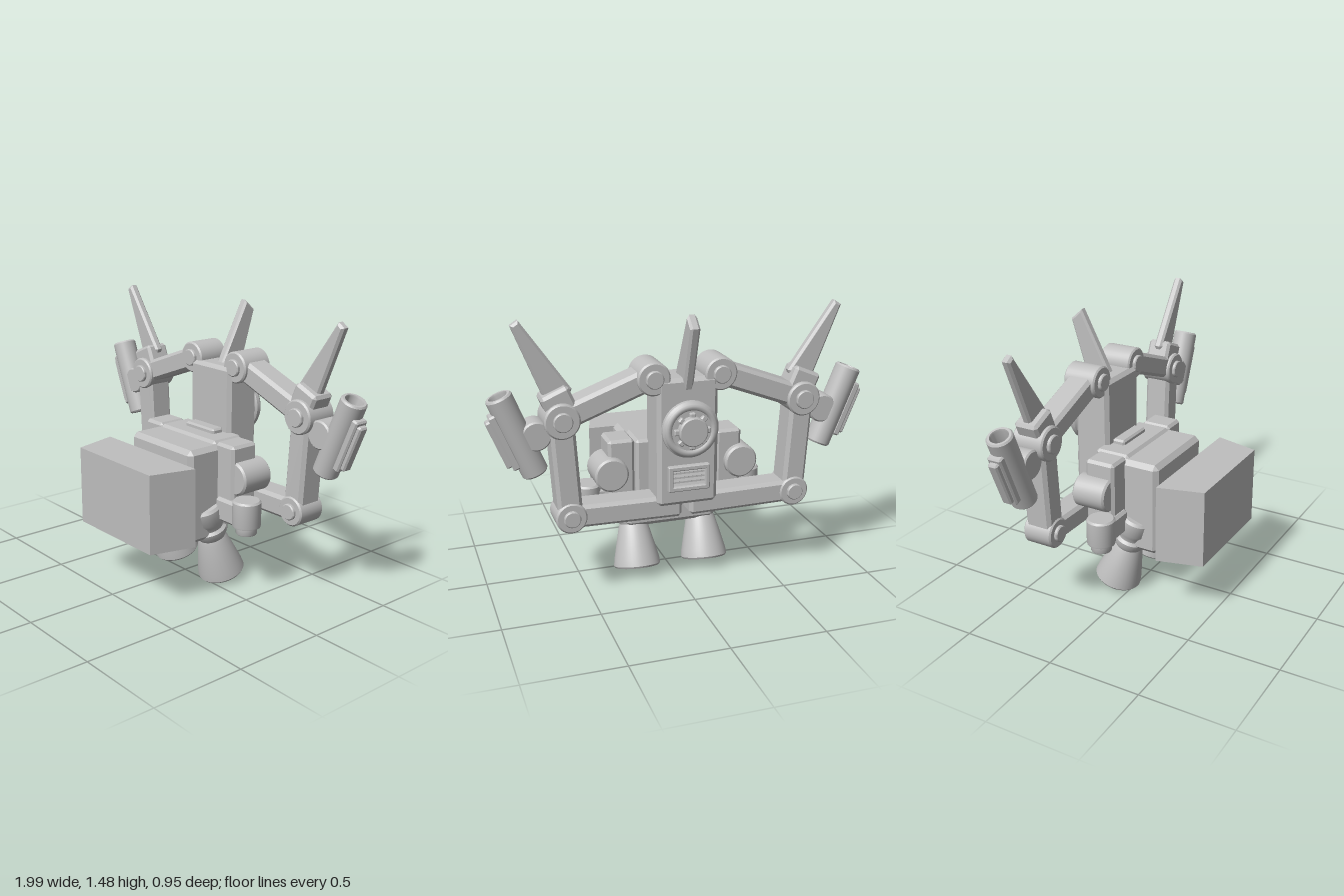
import * as THREE from 'three';
import { ConvexGeometry } from 'three/addons/geometries/ConvexGeometry.js';
import { toCreasedNormals } from 'three/addons/utils/BufferGeometryUtils.js';

const grey = new THREE.MeshStandardMaterial({ name: 'light grey', color: 0xbfbfbf });
const BACK = -0.28; // depth of the arm frame

function add(parent, name, geometry, x = 0, y = 0, z = 0) {
  const mesh = new THREE.Mesh(geometry, grey);
  mesh.name = name;
  mesh.position.set(x, y, z);
  parent.add(mesh);
  return mesh;
}

// Box with chamfered edges
function chamferBox(w, h, d, c = 0.015) {
  const points = [];
  for (const i of [-1, 1]) for (const j of [-1, 1]) for (const k of [-1, 1]) {
    const x = i * w / 2, y = j * h / 2, z = k * d / 2;
    points.push(
      new THREE.Vector3(x, y - j * c, z - k * c),
      new THREE.Vector3(x - i * c, y, z - k * c),
      new THREE.Vector3(x - i * c, y - j * c, z));
  }
  return new ConvexGeometry(points);
}

// Turned part along y, with sharp rims
function turned(profile, segments = 32) {
  const points = profile.map(([r, y]) => new THREE.Vector2(r, y));
  return toCreasedNormals(new THREE.LatheGeometry(points, segments), 0.6);
}

// Cylinder along z with slightly softened rims
function drum(r, depth, bevel = 0.008, segments = 32) {
  const h = depth / 2;
  return turned([[0, -h], [r - bevel, -h], [r, -h + bevel], [r, h - bevel], [r - bevel, h], [0, h]], segments)
    .rotateX(Math.PI / 2);
}

// Bevelled flat blade, centred on z
function blade(points, thickness, bevel = 0.012) {
  const shape = new THREE.Shape(points.map(([x, y]) => new THREE.Vector2(x, y)));
  return new THREE.ExtrudeGeometry(shape, {
    depth: thickness - 2 * bevel, bevelEnabled: true, bevelSize: bevel,
    bevelThickness: bevel, bevelOffset: -bevel, bevelSegments: 1,
  }).translate(0, 0, -thickness / 2 + bevel);
}

// Beam between two points in the arm plane
function beam(parent, name, [x1, y1], [x2, y2], width, depth) {
  const mesh = add(parent, name, chamferBox(Math.hypot(x2 - x1, y2 - y1), width, depth, 0.018),
    (x1 + x2) / 2, (y1 + y2) / 2, BACK);
  mesh.rotation.z = Math.atan2(y2 - y1, x2 - x1);
}

function joint(parent, name, [x, y], r, depth) {
  add(parent, name, drum(r, depth), x, y, BACK);
  add(parent, name + 'Pin', drum(r * 0.54, depth + 0.035, 0.005), x, y, BACK);
}

function buildTorso(parent) {
  // Trapezoid block floating in front
  const panel = new THREE.Shape([[-0.365, -0.235], [0.365, -0.235], [0.3, -0.475], [-0.3, -0.475]]
    .map(([x, y]) => new THREE.Vector2(x, y)));
  add(parent, 'frontBlock', new THREE.ExtrudeGeometry(panel, { depth: 0.42, bevelEnabled: false })
    .rotateX(-Math.PI / 2), 0, 0.32, 0);

  // Main body and its rear link
  add(parent, 'body', chamferBox(0.5, 0.515, 0.285, 0.025), 0, 0.5275, 0.0325);
  add(parent, 'bodyLink', chamferBox(0.45, 0.33, 0.2), 0, 0.635, -0.11);
  add(parent, 'topPlate', chamferBox(0.23, 0.05, 0.075, 0.01), 0, 0.8, -0.135);

  // Back column
  add(parent, 'column', chamferBox(0.32, 0.67, 0.205, 0.02), 0, 0.82, -0.2725);
  const fin = blade([[0.41, 1.478], [0.475, 1.42], [0.37, 1.08], [0.205, 1.08]], 0.052);
  add(parent, 'centreFin', fin.rotateY(Math.PI / 2));

  // Round hatch on the back
  add(parent, 'hatch', drum(0.147, 0.05, 0.015, 40), 0, 0.9, -0.402);
  add(parent, 'hatchRing', new THREE.TorusGeometry(0.12, 0.02, 10, 40), 0, 0.9, -0.415);
  add(parent, 'hatchHub', drum(0.075, 0.085, 0.006), 0, 0.9, -0.423);
  for (let i = 0; i < 8; i++) {
    const a = i * Math.PI / 4;
    const bolt = add(parent, 'hatchBolt', chamferBox(0.03, 0.03, 0.035, 0.005),
      0.08 * Math.cos(a), 0.9 + 0.08 * Math.sin(a), -0.43);
    bolt.rotation.z = a;
  }

  // Vent frame with slats
  for (const s of [-1, 1]) {
    add(parent, 'ventRail', chamferBox(0.22, 0.025, 0.04, 0.005), 0, 0.6375 + s * 0.055, -0.382);
    add(parent, 'ventPost', chamferBox(0.025, 0.135, 0.04, 0.005), s * 0.0975, 0.6375, -0.382);
  }
  for (let i = -1.5; i < 2; i++) {
    const slat = add(parent, 'ventSlat', new THREE.BoxGeometry(0.175, 0.014, 0.02), 0, 0.6375 + i * 0.024, -0.382);
    slat.rotation.x = 0.4;
  }
}

function buildSide(parent, s) {
  // Side box, tank and small vertical thruster
  add(parent, 'sideBox', chamferBox(0.14, 0.4, 0.17), s * 0.295, 0.6, -0.1);
  add(parent, 'tank', drum(0.09, 0.19, 0.01), s * 0.355, 0.625, -0.125);
  add(parent, 'thrusterArm', chamferBox(0.2, 0.13, 0.1), s * 0.35, 0.445, -0.045);
  add(parent, 'smallThruster', turned([[0, 0.35], [0.052, 0.35], [0.055, 0.355], [0.055, 0.39],
    [0.073, 0.392], [0.075, 0.4], [0.075, 0.525], [0.066, 0.535], [0, 0.535]]), s * 0.447, 0, -0.042);

  // Tilted main nozzle, hollow bell
  const nozzle = add(parent, 'nozzle', turned([[0, 0.2], [0.06, 0.2], [0.095, 0.07], [0.112, 0.005],
    [0.12, 0], [0.127, 0.01], [0.122, 0.045], [0.105, 0.12], [0.082, 0.215], [0.074, 0.235],
    [0.086, 0.255], [0.09, 0.285], [0.076, 0.3], [0.082, 0.325], [0.096, 0.35],
    [0.096, 0.42], [0.085, 0.435], [0, 0.435]], 40), s * 0.193, 0.04, -0.1);
  nozzle.rotation.x = 0.316;

  // Arm frame
  const shoulder = [s * 0.175, 1.16], elbow = [s * 0.634, 0.987], lower = [s * 0.602, 0.478];
  joint(parent, 'shoulder', shoulder, 0.085, 0.185);
  joint(parent, 'elbow', elbow, 0.09, 0.18);
  joint(parent, 'lowerJoint', lower, 0.08, 0.165);
  beam(parent, 'upperArm', shoulder, elbow, 0.12, 0.145);
  beam(parent, 'outerArm', elbow, lower, 0.125, 0.15);
  beam(parent, 'lowerArm', [s * 0.02, 0.47], lower, 0.12, 0.15);

  // Swept fin on its mount
  const mount = add(parent, 'finMount', chamferBox(0.15, 0.12, 0.135), s * 0.644, 1.075, BACK);
  mount.rotation.z = -s * 0.4;
  add(parent, 'sideFin', blade([[s * 0.853, 1.455], [s * 0.815, 1.48], [s * 0.57, 1.13],
    [s * 0.6, 1.05], [s * 0.69, 1.05], [s * 0.715, 1.11]], 0.05), 0, 0, BACK);

  // Outer tube with its pivot and rail
  add(parent, 'tubePivot', drum(0.075, 0.12), s * 0.757, 0.917, BACK);
  const gun = new THREE.Group();
  gun.name = 'outerTube';
  gun.position.set(s * 0.8425, 0.917, BACK);
  gun.rotation.z = -s * 0.386;
  parent.add(gun);
  add(gun, 'tube', turned([[0, -0.219], [0.06, -0.219], [0.067, -0.21], [0.067, 0.21],
    [0.06, 0.219], [0.048, 0.219], [0.045, 0.21], [0.045, 0.05], [0, 0.05]]));
  add(gun, 'tubeRail', chamferBox(0.04, 0.3, 0.08, 0.008), s * 0.07, 0, 0);
  add(gun, 'tubeRailCap', chamferBox(0.04, 0.26, 0.055, 0.008), s * 0.094, 0, 0);
}

export function createModel() {
  const model = new THREE.Group();
  model.name = 'thrusterPack';
  buildTorso(model);
  for (const s of [1, -1]) {
    const side = new THREE.Group();
    side.name = s > 0 ? 'leftSide' : 'rightSide';
    model.add(side);
    buildSide(side, s);
  }
  return model;
}
